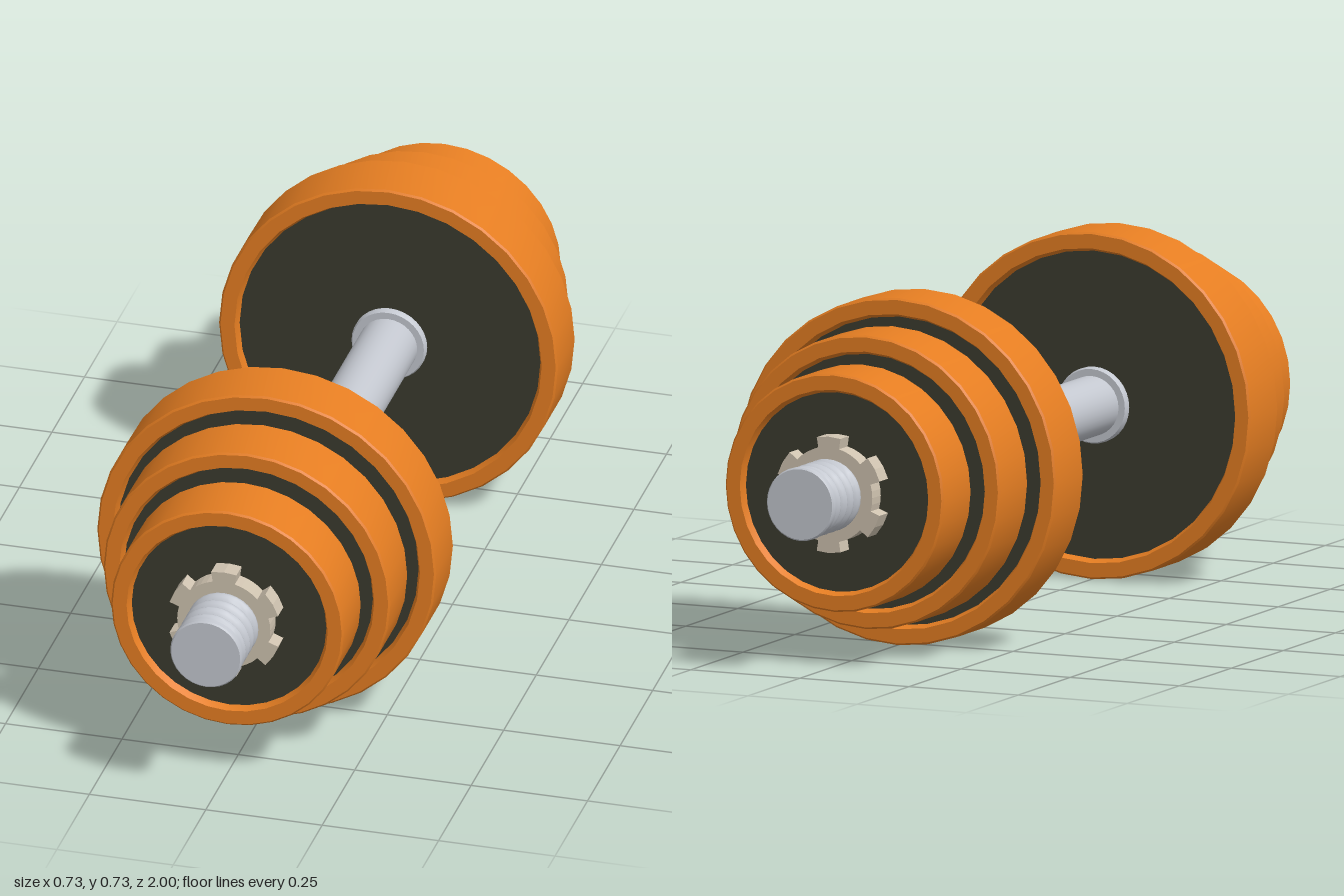
import * as THREE from 'three';
import { toCreasedNormals } from 'three/addons/utils/BufferGeometryUtils.js';

const AXIS_Y = 0.365;
const orange = new THREE.MeshStandardMaterial({ color: 0xe67e22 });
const dark = new THREE.MeshStandardMaterial({ color: 0x3b3b2f });
const steel = new THREE.MeshStandardMaterial({ color: 0xc4c8d0 });
const nutMetal = new THREE.MeshStandardMaterial({ color: 0xcfc3b0 });

// Revolve [radius, z] points about the z axis
function turned(name, points, material, segments = 32) {
  const profile = points.map(([r, z]) => new THREE.Vector2(r, z));
  const geometry = new THREE.LatheGeometry(profile, segments).rotateX(Math.PI / 2);
  const mesh = new THREE.Mesh(toCreasedNormals(geometry, 0.6), material);
  mesh.name = name;
  return mesh;
}

// Weight plate: orange rim around a slightly recessed dark disc
function createPlate(radius, z0, z1) {
  const plate = new THREE.Group();
  plate.name = 'weightPlate';
  const b = 0.004, depth = 0.015;
  const inner = radius - 0.034, floor = inner - 0.007;
  plate.add(turned('plateRim', [
    [floor, z0 + depth], [inner, z0], [radius - b, z0], [radius, z0 + b],
    [radius, z1 - b], [radius - b, z1], [inner, z1], [floor, z1 - depth],
  ], orange));
  plate.add(turned('plateDisc', [
    [0.05, z0 + depth], [floor + 0.002, z0 + depth],
    [floor + 0.002, z1 - depth], [0.05, z1 - depth],
  ], dark));
  return plate;
}

// Locking nut with six teeth
function createNut() {
  const shape = new THREE.Shape();
  const teeth = 6, root = 0.1, tip = 0.122;
  for (let i = 0; i < teeth; i++) {
    const a = Math.PI / 2 + (i * Math.PI * 2) / teeth;
    const corners = [[root, -0.24], [tip, -0.225], [tip, 0], [tip, 0.225], [root, 0.24], [root, 0.38], [root, 0.52], [root, 0.66]];
    corners.forEach(([r, d], k) => {
      const x = r * Math.cos(a + d), y = r * Math.sin(a + d);
      if (i + k === 0) shape.moveTo(x, y);
      else shape.lineTo(x, y);
    });
  }
  shape.closePath();
  shape.holes.push(new THREE.Path().absarc(0, 0, 0.07, 0, Math.PI * 2, true));
  const geometry = new THREE.ExtrudeGeometry(shape, { depth: 0.042, bevelEnabled: false, curveSegments: 16 });
  const nut = new THREE.Mesh(geometry, nutMetal);
  nut.name = 'lockingNut';
  nut.position.z = 0.82;
  return nut;
}

// Sleeve with a stop flange, rounded thread ribs and a flat end
function createSleeve() {
  const points = [[0.05, 0.4], [0.077, 0.4], [0.08, 0.405], [0.08, 0.418], [0.075, 0.42], [0.075, 0.815]];
  const start = 0.82, pitch = 0.032, ribs = 5, steps = 8;
  for (let i = 0; i <= ribs * steps; i++) {
    const t = i / steps;
    points.push([0.062 + 0.014 * Math.abs(Math.sin(t * Math.PI)), start + t * pitch]);
  }
  points.push([0.074, 0.982], [0.077, 0.985], [0.077, 0.997], [0.074, 1], [0, 1]);
  return turned('threadedSleeve', points, steel);
}

// One loaded end of the bar, facing +z
function createEnd() {
  const end = new THREE.Group();
  end.add(
    createPlate(0.364, 0.4, 0.535),
    createPlate(0.308, 0.55, 0.686),
    createPlate(0.25, 0.7, 0.836),
    createNut(),
    createSleeve(),
  );
  return end;
}

export function createModel() {
  const model = new THREE.Group();
  model.name = 'dumbbell';

  const handle = turned('handle', [[0.0625, -0.41], [0.0625, 0.41]], steel);
  handle.position.y = AXIS_Y;
  model.add(handle);

  ['frontWeights', 'backWeights'].forEach((name, i) => {
    const end = createEnd();
    end.name = name;
    end.position.y = AXIS_Y;
    end.rotation.y = i * Math.PI;
    model.add(end);
  });
  return model;
}
